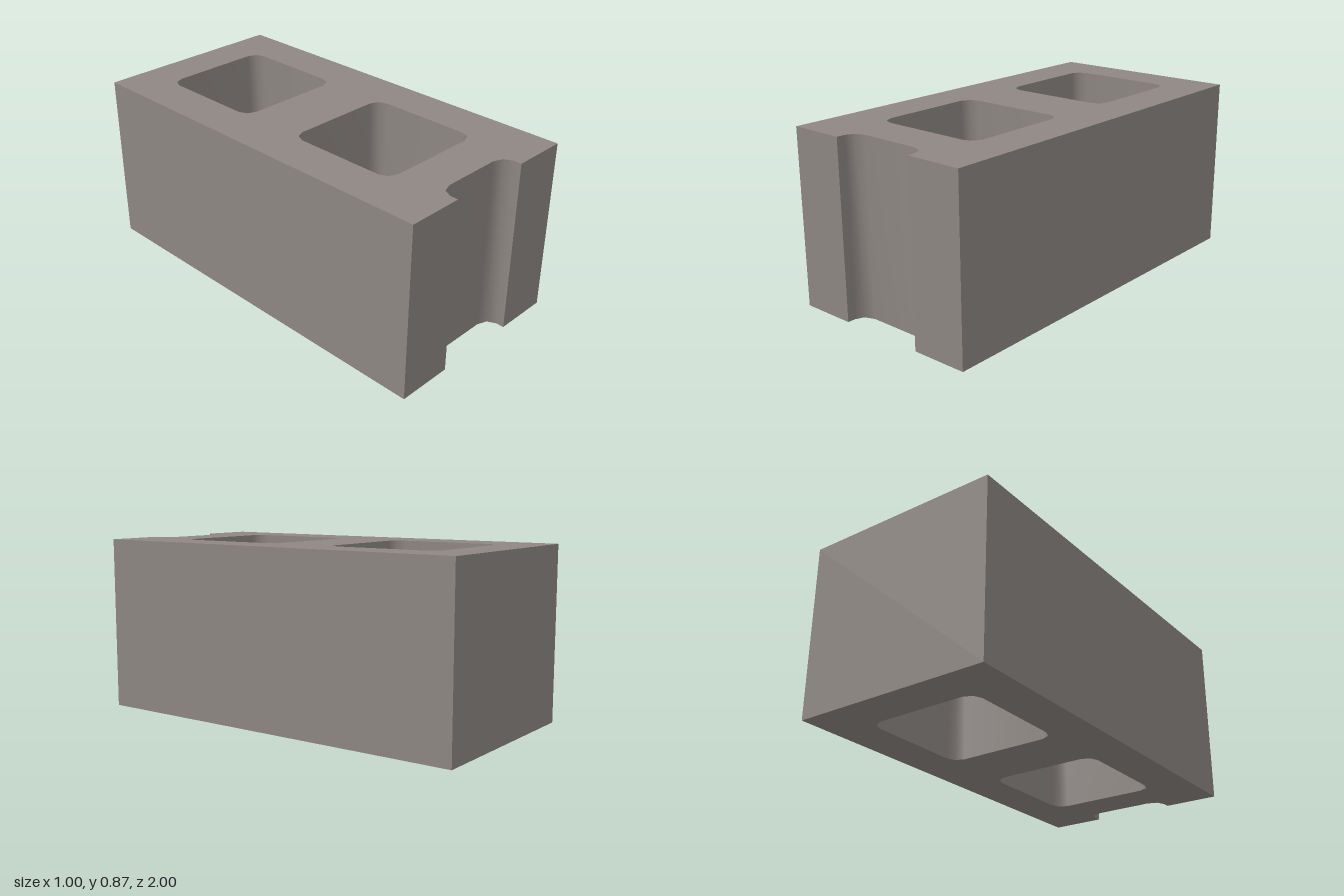
import * as THREE from 'three';
import { toCreasedNormals } from 'three/addons/utils/BufferGeometryUtils.js';

const HEIGHT = 0.873;

// Plan points are [x, z]; the shape is drawn with y = -z and later laid flat.
const toPlan = (points) => points.map(([x, z]) => new THREE.Vector2(x, -z));

// Square core opening with two-facet rounded corners, wound opposite to the outline
function coreHole(halfWidth, zBack, zFront) {
  const mid = (zBack + zFront) / 2;
  const halfDepth = (zFront - zBack) / 2;
  const corner = [[0, 0.06], [0.018, 0.018], [0.06, 0]];
  const points = [];
  for (const [sx, sz] of [[-1, -1], [-1, 1], [1, 1], [1, -1]]) {
    const ordered = sx * sz < 0 ? corner : [...corner].reverse();
    for (const [dx, dz] of ordered) {
      points.push([sx * (halfWidth - dx), mid + sz * (halfDepth - dz)]);
    }
  }
  return new THREE.Path(toPlan(points));
}

export function createModel() {
  const concrete = new THREE.MeshStandardMaterial({ color: 0x8e8783 });
  concrete.name = 'concrete';

  // Outline with the mortar groove cut into the front end
  const halfGroove = [[0.22, 1], [0.22, 0.96], [0.2, 0.918], [0.15, 0.9]];
  const mirrored = halfGroove.map(([x, z]) => [-x, z]).reverse();
  const outline = new THREE.Shape(toPlan([
    [-0.5, 1], [-0.5, -1], [0.5, -1], [0.5, 1], ...halfGroove, ...mirrored,
  ]));

  // Two hollow cores
  outline.holes.push(coreHole(0.288, -0.793, -0.213), coreHole(0.288, 0.106, 0.687));

  const solid = new THREE.ExtrudeGeometry(outline, { depth: HEIGHT, bevelEnabled: false });
  solid.rotateX(-Math.PI / 2);

  // Smooth the rounded corners, keep the block edges sharp
  const block = new THREE.Mesh(toCreasedNormals(solid, Math.PI / 3), concrete);
  block.name = 'hollowBlock';

  const model = new THREE.Group();
  model.name = 'concreteBlock';
  model.add(block);
  return model;
}
